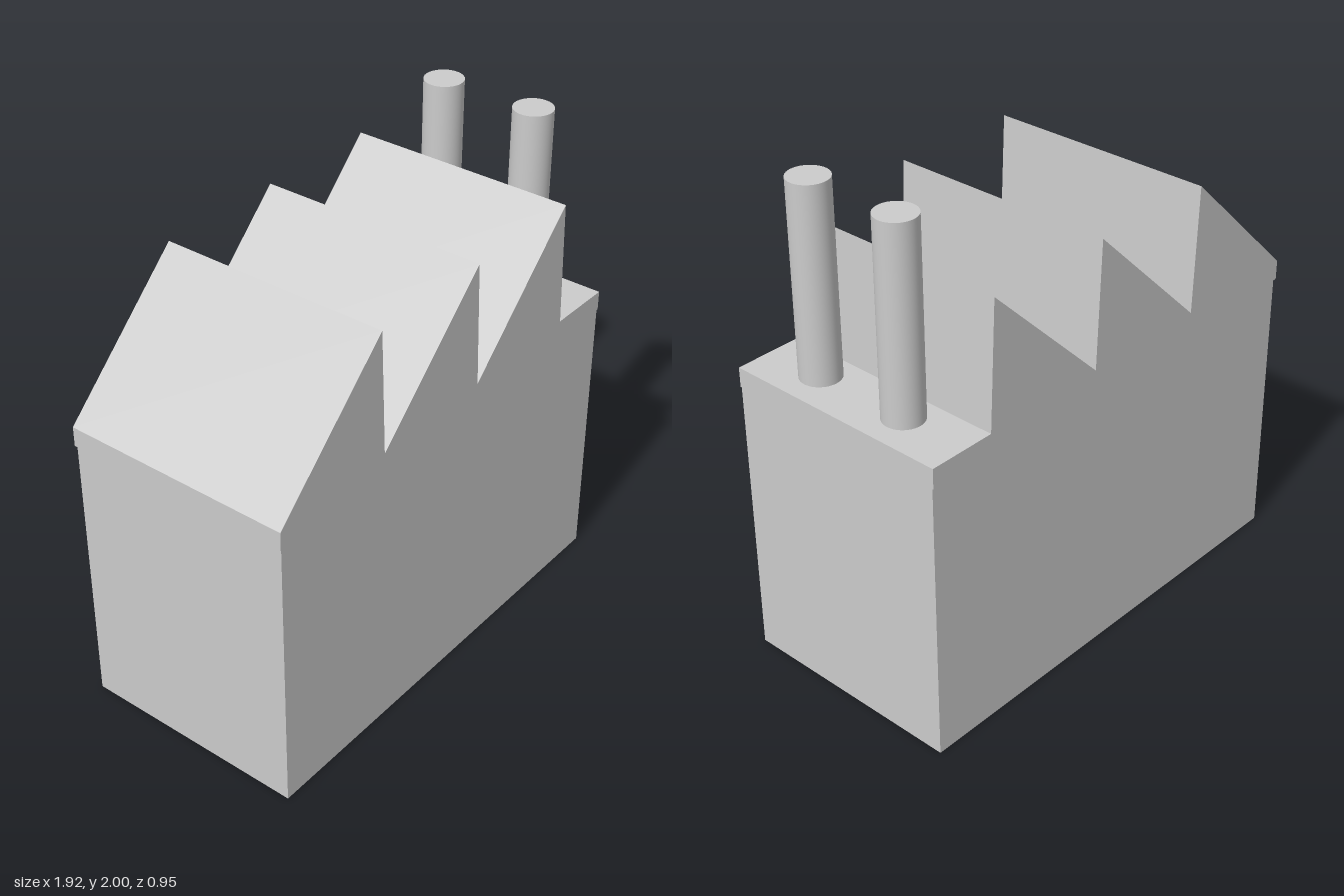
import * as THREE from 'three';

export function createModel() {
  const model = new THREE.Group();
  const material = new THREE.MeshStandardMaterial({ color: 0xcccccc });

  const add = (name, geometry, x, y, z) => {
    const mesh = new THREE.Mesh(geometry, material);
    mesh.name = name;
    mesh.position.set(x, y, z);
    model.add(mesh);
  };

  // Plain block of walls
  const eaves = 1.15;
  add('walls', new THREE.BoxGeometry(1.915, eaves, 0.94), 0, eaves / 2, 0.002);

  // Sawtooth roof, slightly wider than the walls
  const valley = 1.23, peak = 1.74, depth = 0.95;
  const profile = new THREE.Shape();
  profile.moveTo(-0.963, eaves);
  profile.lineTo(0.96, eaves);
  profile.lineTo(0.96, valley);
  for (const x of [0.66, 0.117, -0.432]) {
    profile.lineTo(x + 0.022, valley);
    profile.lineTo(x, peak);
  }
  profile.lineTo(-0.963, valley);
  profile.closePath();
  const roof = new THREE.ExtrudeGeometry(profile, { depth, bevelEnabled: false });
  add('sawtoothRoof', roof, 0, 0, -depth / 2);

  // Pair of chimneys on the flat end of the roof
  const height = 2 - valley;
  [['frontChimney', 0.22], ['backChimney', -0.187]].forEach(([name, z]) => {
    add(name, new THREE.CylinderGeometry(0.079, 0.079, height, 48), 0.804, valley + height / 2, z);
  });

  return model;
}
